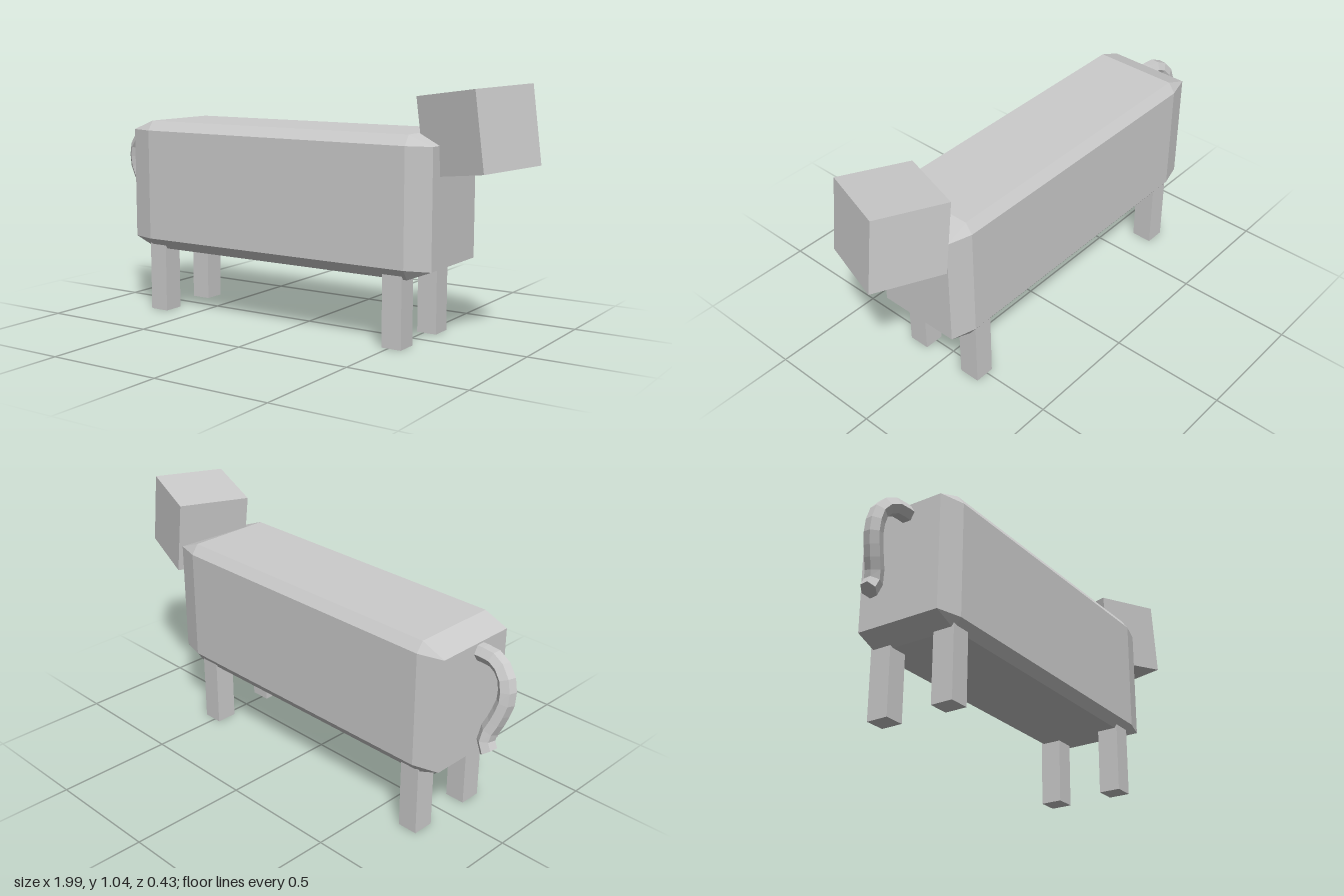
import * as THREE from 'three';
import { ConvexGeometry } from 'three/addons/geometries/ConvexGeometry.js';

export function createModel() {
  const model = new THREE.Group();
  const grey = new THREE.MeshStandardMaterial({ color: 0xcccccc });
  grey.name = 'light grey';

  const add = (name, geometry, x = 0, y = 0, z = 0) => {
    const mesh = new THREE.Mesh(geometry, grey);
    mesh.name = name;
    mesh.position.set(x, y, z);
    model.add(mesh);
    return mesh;
  };

  // Body: a long box with every edge and corner chamfered
  const outer = [0.745, 0.282, 0.213];
  const inner = [0.64, 0.24, 0.183];
  const corners = [];
  for (const sx of [-1, 1]) for (const sy of [-1, 1]) for (const sz of [-1, 1]) {
    for (let axis = 0; axis < 3; axis++) {
      const [x, y, z] = inner.map((v, i) => (i === axis ? outer[i] : v));
      corners.push(new THREE.Vector3(x * sx, y * sy, z * sz));
    }
  }
  add('body', new ConvexGeometry(corners), -0.065, 0.562, 0);

  // Legs: four square posts reaching just into the body
  const leg = new THREE.BoxGeometry(0.087, 0.3, 0.093);
  for (const [end, x] of [['hind', -0.677], ['fore', 0.514]]) {
    for (const [side, z] of [['Right', 0.147], ['Left', -0.147]]) {
      add(end + 'Leg' + side, leg, x, 0.15, z);
    }
  }

  // Head: a cube turned towards the front and tilted up
  const head = add('head', new THREE.BoxGeometry(0.314, 0.314, 0.314), 0.778, 0.855, 0);
  head.rotation.set(0, -0.322, 0.131, 'ZYX');

  // Tail: a faceted tube that drops down and flicks out at the tip
  const path = new THREE.CatmullRomCurve3([
    [-0.79, 0.763, 0.026], [-0.89, 0.758, 0.022], [-0.945, 0.715, 0.01],
    [-0.962, 0.63, 0], [-0.937, 0.54, -0.015], [-0.908, 0.46, -0.033],
    [-0.925, 0.412, -0.038], [-0.96, 0.375, -0.04],
  ].map((p) => new THREE.Vector3(...p)));
  const segments = 12, sides = 6;
  const tube = new THREE.TubeGeometry(path, segments, 0.036, sides, false);
  // The last ring collapses into the one before it, closing the tip
  const tip = path.getPointAt((segments - 1) / segments);
  for (let i = 0; i <= sides; i++) {
    tube.attributes.position.setXYZ(segments * (sides + 1) + i, tip.x, tip.y, tip.z);
  }
  const tail = tube.toNonIndexed();
  tail.computeVertexNormals();
  add('tail', tail);

  return model;
}
